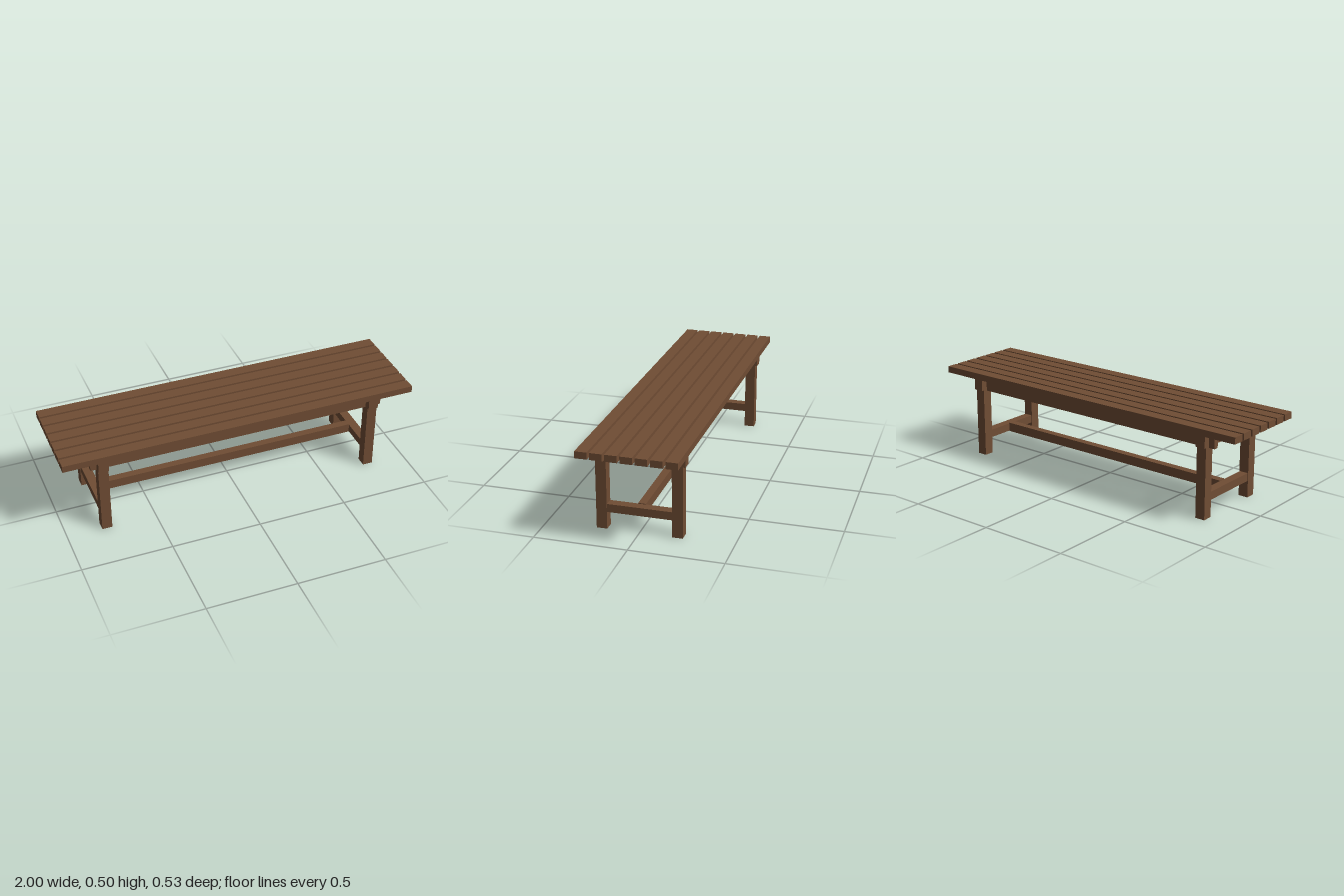
import * as THREE from 'three';

export function createModel() {
  const group = new THREE.Group();
  const wood = new THREE.MeshStandardMaterial({ color: 0x704d34 });
  wood.name = 'brown wood';

  // Box given by its centre in x and z, its bottom and top, and its size
  function beam(name, x, z, y0, y1, width, depth) {
    const mesh = new THREE.Mesh(new THREE.BoxGeometry(width, y1 - y0, depth), wood);
    mesh.name = name;
    mesh.position.set(x, (y0 + y1) / 2, z);
    group.add(mesh);
  }

  // Seven seat slats with gaps between them
  for (let i = -3; i <= 3; i++) beam('seatSlat', 0, i * 0.0772, 0.465, 0.502, 2, 0.064);

  // Long rails under the seat
  for (const s of [-1, 1]) beam('longRail', 0, s * 0.1905, 0.388, 0.465, 1.68, 0.029);

  // End frames: cross rail, lower stretcher and two legs
  for (const sx of [-1, 1]) {
    beam('crossRail', sx * 0.778, 0, 0.393, 0.4645, 0.056, 0.486);
    beam('endStretcher', sx * 0.778, 0, 0.094, 0.139, 0.05, 0.348);
    for (const sz of [-1, 1]) beam('leg', sx * 0.778, sz * 0.2015, 0, 0.393, 0.056, 0.057);
  }

  // Long stretcher joining the end frames
  beam('longStretcher', 0, 0, 0.091, 0.143, 1.51, 0.042);

  return group;
}
